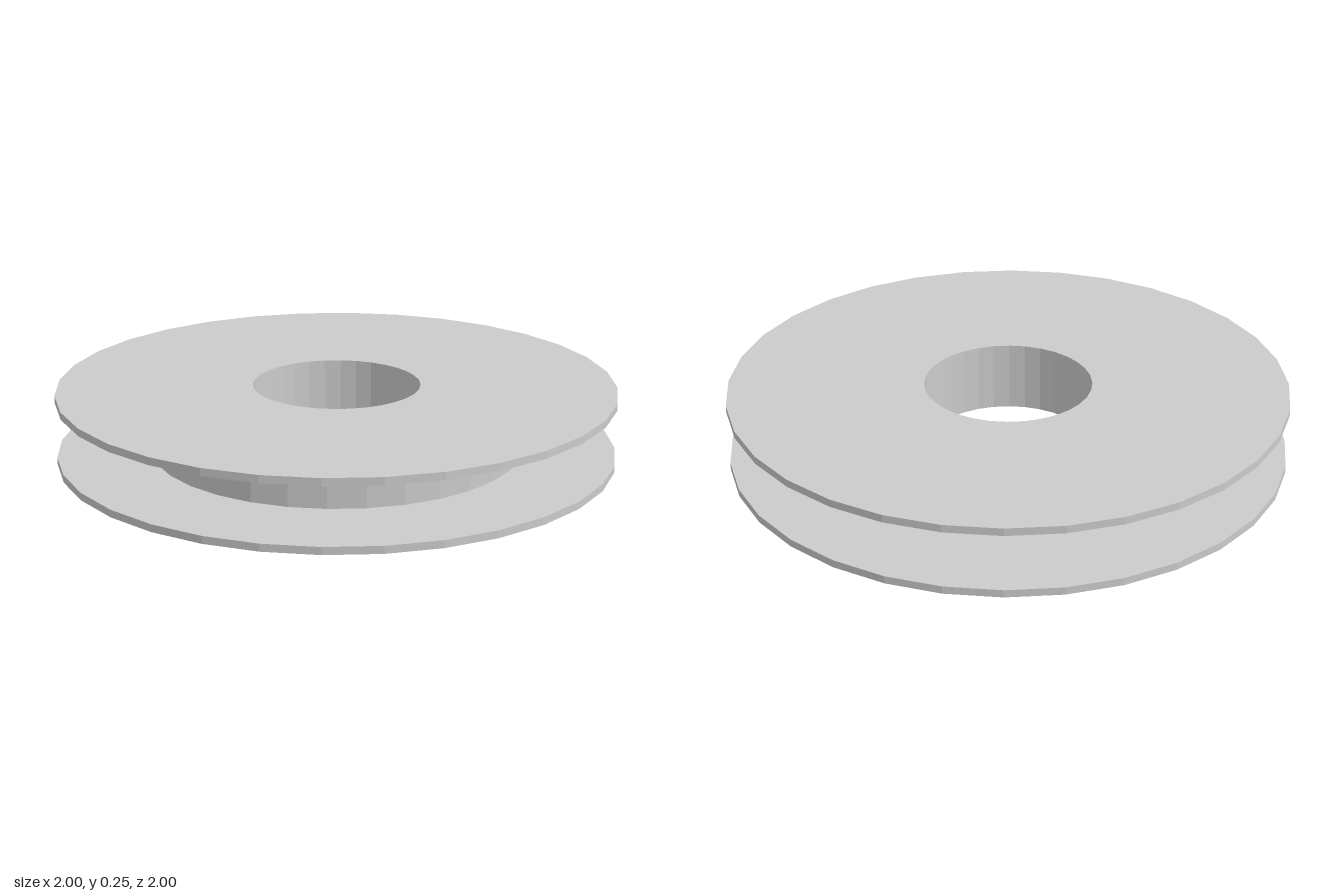
import * as THREE from 'three';

const SIDES = 32;
const BORE = 0.3, HUB = 0.667, RIM = 1;
const PLATE = 0.027, HEIGHT = 0.254;

const material = new THREE.MeshStandardMaterial({ color: 0xcccccc, flatShading: true });

// Revolves a run of [radius, height] points; outer walls run upwards, inner walls downwards
function revolve(name, ...points) {
  const profile = points.map(([r, y]) => new THREE.Vector2(r, y));
  const mesh = new THREE.Mesh(new THREE.LatheGeometry(profile, SIDES), material);
  mesh.name = name;
  return mesh;
}

// Thin disc with a round hole
function flange(name, y) {
  const top = y + PLATE;
  return revolve(name, [BORE, y], [RIM, y], [RIM, top], [BORE, top], [BORE, y]);
}

export function createModel() {
  const spool = new THREE.Group();
  spool.name = 'spool';

  const low = PLATE, high = HEIGHT - PLATE;
  spool.add(flange('bottomFlange', 0), flange('topFlange', high));

  // Hub between the flanges: outer drum wall and the lining of the bore
  const hub = new THREE.Group();
  hub.name = 'hub';
  hub.add(
    revolve('drumWall', [HUB, low], [HUB, high]),
    revolve('boreWall', [BORE, high], [BORE, low]),
  );
  spool.add(hub);

  return spool;
}
